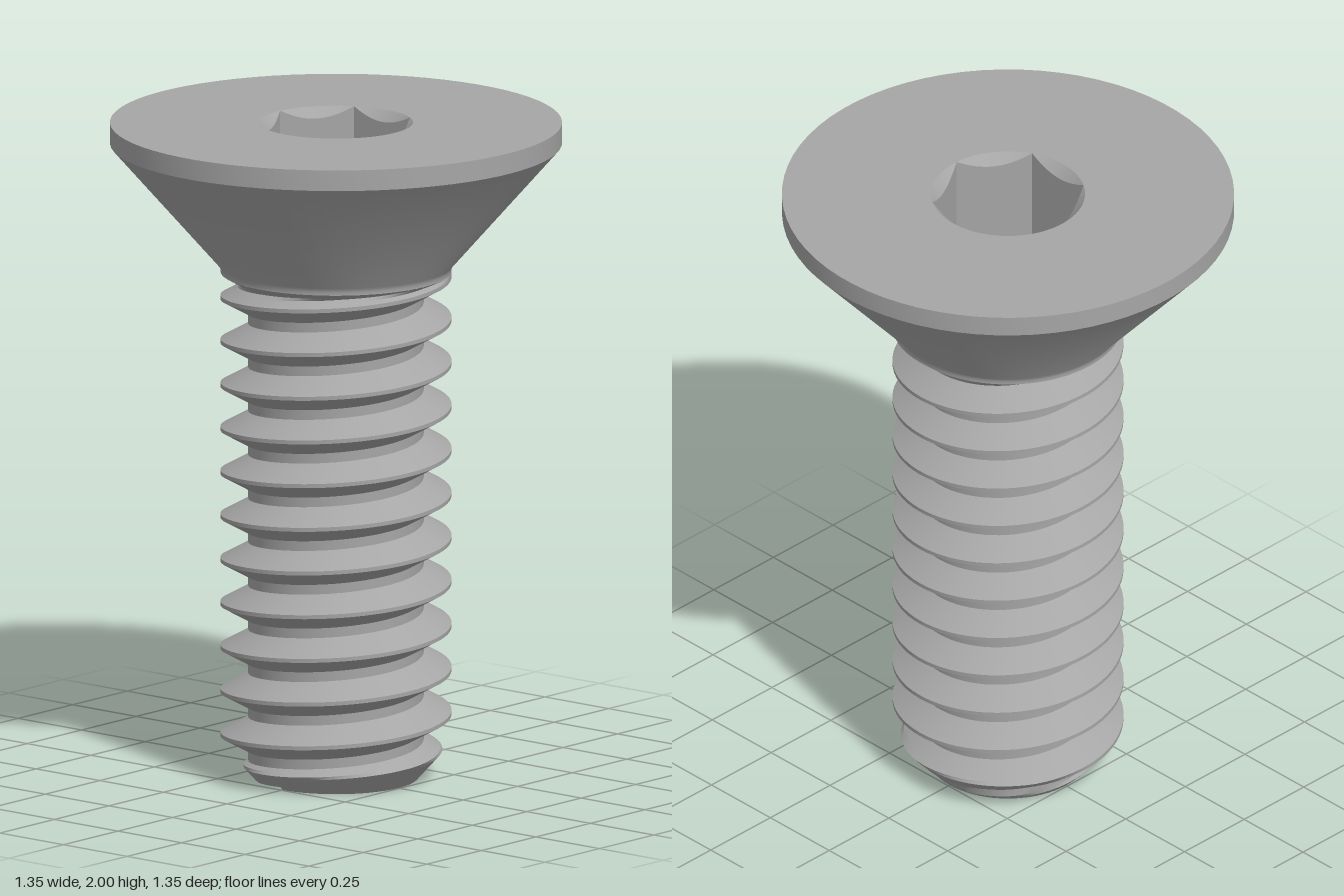
import * as THREE from 'three';
import { toCreasedNormals } from 'three/addons/utils/BufferGeometryUtils.js';

const SEG = 72;
const PITCH = 0.1335, CREST = 0.345, ROOT = 0.262;
const THREAD_TOP = 1.545, TIP_RADIUS = 0.245;
const PHASE = THREE.MathUtils.degToRad(87.1); // turn of the hex socket

// Surface from a grid of points; f(i, j) gives [angle, radius, y]
function grid(nu, nv, f, crease) {
  const pos = [];
  const point = (i, j) => {
    const [a, r, y] = f(i, j);
    return new THREE.Vector3(r * Math.sin(a), y, r * Math.cos(a));
  };
  const tri = (a, b, c) => {
    const area = b.clone().sub(a).cross(c.clone().sub(a)).length();
    if (area > 1e-9) pos.push(...a, ...b, ...c);
  };
  for (let i = 0; i < nu; i++) {
    for (let j = 0; j < nv; j++) {
      const a = point(i, j), b = point(i + 1, j), c = point(i + 1, j + 1), d = point(i, j + 1);
      tri(a, b, c);
      tri(a, c, d);
    }
  }
  const g = new THREE.BufferGeometry();
  g.setAttribute('position', new THREE.Float32BufferAttribute(pos, 3));
  return toCreasedNormals(g, crease);
}

// Thread: one pitch of the V profile swept up a right-handed helix
function threadGeometry() {
  const flat = 0.006, flank = 0.046, steps = 5;
  const profile = [[-flat, CREST]];
  for (let k = 0; k <= steps; k++) {
    profile.push([flat + flank * k / steps, CREST + (ROOT - CREST) * k / steps]);
  }
  for (let k = 0; k <= steps; k++) {
    profile.push([PITCH - flat - flank * (1 - k / steps), ROOT + (CREST - ROOT) * k / steps]);
  }
  const turns = 14;
  return grid(turns * SEG, profile.length - 1, (i, j) => {
    const t = i / SEG - 2;
    const rawY = 0.15 + (t + 0) * PITCH + profile[j][0];
    const y = THREE.MathUtils.clamp(rawY, 0, THREAD_TOP);
    // run-out under the head, chamfer at the tip
    let r = Math.max(profile[j][1], CREST - (THREAD_TOP - y) * 1.73);
    r = Math.min(r, TIP_RADIUS + 0.9 * y);
    return [t * Math.PI * 2, r, y];
  }, 0.4);
}

// Hex socket: conical lead-in, six flat walls and a floor
function socketGeometry() {
  const corner = 0.23, floorY = 1.7;
  const apothem = corner * Math.cos(Math.PI / 6);
  return grid(SEG, 3, (i, j) => {
    const a = i / SEG * Math.PI * 2;
    const r = apothem / Math.cos((a % (Math.PI / 3)) - Math.PI / 6);
    const ring = [[corner, 2], [r, 2 - (corner - r)], [r, floorY], [0, floorY]][j];
    return [a + PHASE, ...ring];
  }, 0.4);
}

export function createModel() {
  const steel = new THREE.MeshStandardMaterial({ color: 0xa6a6a6 });
  steel.name = 'steel grey';
  const model = new THREE.Group();
  model.name = 'countersunkScrew';
  const add = (name, geometry) => {
    const mesh = new THREE.Mesh(geometry, steel);
    mesh.name = name;
    model.add(mesh);
    return mesh;
  };

  // Countersunk head with a short collar and a straight rim
  const headProfile = [
    [CREST, THREAD_TOP], [CREST, 1.555], [0.35, 1.567], [0.675, 1.937], [0.675, 2], [0.23, 2],
  ].map(([x, y]) => new THREE.Vector2(x, y));
  add('head', toCreasedNormals(new THREE.LatheGeometry(headProfile, SEG, PHASE), 0.5));
  add('hexSocket', socketGeometry());
  add('threadedShank', threadGeometry());

  // Flat end of the shank
  const tip = add('tip', new THREE.CircleGeometry(TIP_RADIUS, SEG));
  tip.rotation.x = Math.PI / 2;

  return model;
}
